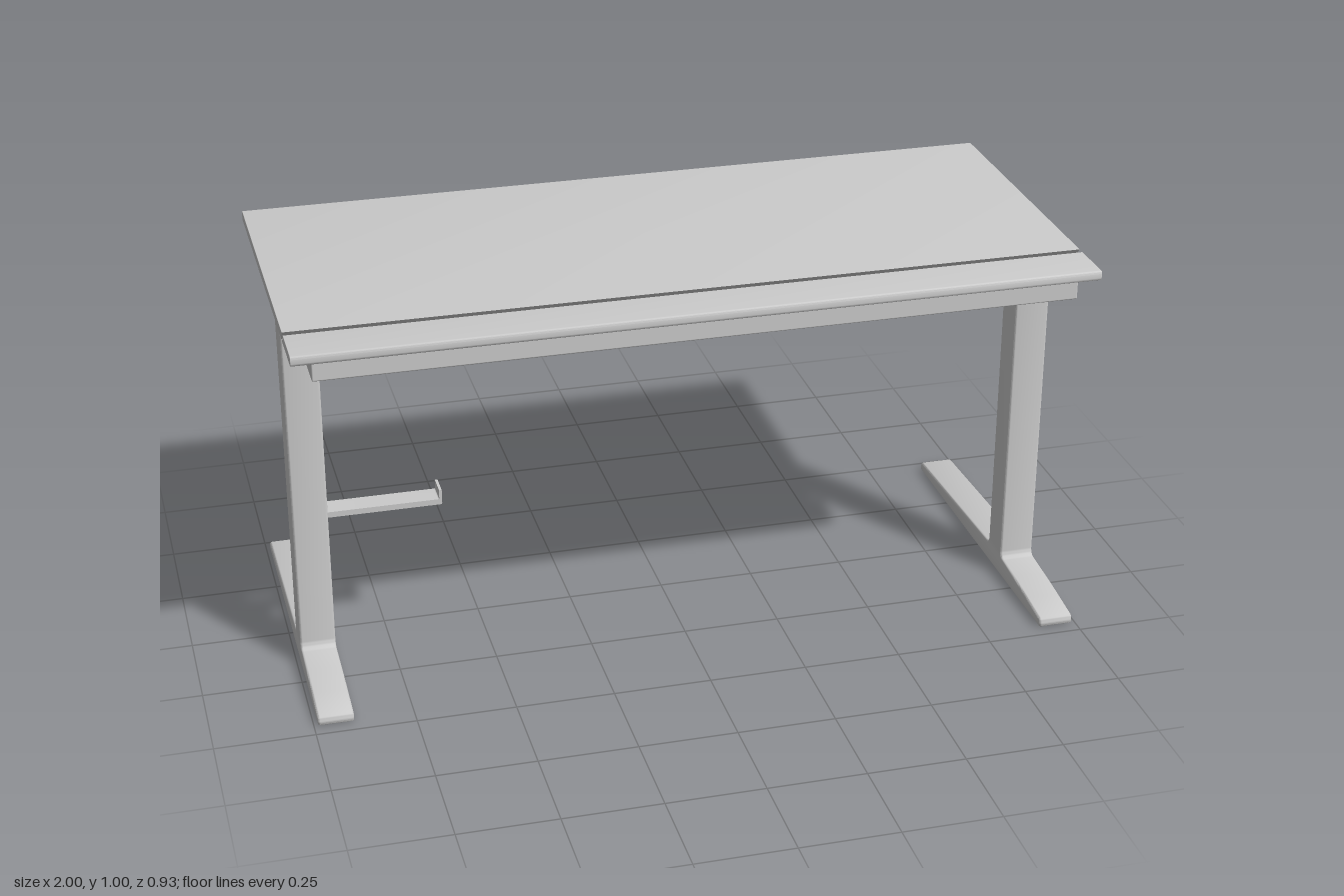
import * as THREE from 'three';
import { toCreasedNormals } from 'three/addons/utils/BufferGeometryUtils.js';
import { RoundedBoxGeometry } from 'three/addons/geometries/RoundedBoxGeometry.js';

const material = new THREE.MeshStandardMaterial({ color: 0xcccccc });

// Closed outline from [x, y, cornerRadius] points, listed counter-clockwise
function roundedOutline(points) {
  const shape = new THREE.Shape();
  const n = points.length;
  points.forEach(([x, y, r = 0], i) => {
    const corner = new THREE.Vector2(x, y);
    const toward = ([px, py]) =>
      new THREE.Vector2(px, py).sub(corner).setLength(r).add(corner);
    const a = toward(points[(i + n - 1) % n]);
    const b = toward(points[(i + 1) % n]);
    if (i === 0) shape.moveTo(a.x, a.y);
    else shape.lineTo(a.x, a.y);
    if (r > 0) shape.quadraticCurveTo(x, y, b.x, b.y);
  });
  shape.closePath();
  return shape;
}

// Extrusion centred on its depth, with the bevel kept inside the outline
function extrude(points, depth, bevel) {
  const geometry = new THREE.ExtrudeGeometry(roundedOutline(points), {
    depth: depth - 2 * bevel,
    curveSegments: 6,
    bevelEnabled: bevel > 0,
    bevelThickness: bevel,
    bevelSize: bevel,
    bevelOffset: -bevel,
    bevelSegments: 3,
  });
  geometry.translate(0, 0, -(depth - 2 * bevel) / 2);
  return toCreasedNormals(geometry, 0.6);
}

// Outline given as [z, y], extruded along x
const extrudeAlongX = (points, width, bevel) =>
  extrude(points, width, bevel).rotateY(-Math.PI / 2);

export function createModel() {
  const desk = new THREE.Group();
  desk.name = 'desk';

  const add = (name, geometry, x = 0, y = 0, z = 0) => {
    const mesh = new THREE.Mesh(geometry, material);
    mesh.name = name;
    mesh.position.set(x, y, z);
    desk.add(mesh);
    return mesh;
  };

  // Main top, its front edge cut on a slant
  add('tabletop', extrudeAlongX([
    [-0.465, 0.975, 0.004], [0.301, 0.975], [0.321, 1], [-0.465, 1, 0.004],
  ], 2, 0.001));

  // Narrow front strip with a matching slanted back edge
  add('frontStrip', extrudeAlongX([
    [0.319, 0.975], [0.465, 0.975, 0.007], [0.465, 1, 0.007], [0.339, 1],
  ], 2, 0.001));

  // Shallow tray under the front strip
  add('tray', new RoundedBoxGeometry(1.9, 0.055, 0.265, 3, 0.004), 0, 0.9475, 0.3075);

  // Legs: post and tapering foot in one profile with filleted joints
  const legGeometry = extrudeAlongX([
    [-0.465, 0, 0.008], [0.465, 0, 0.008], [0.465, 0.025, 0.012],
    [0.32, 0.042, 0.05], [0.173, 0.053, 0.018],
    [0.173, 0.975], [0.084, 0.975],
    [0.084, 0.053, 0.018], [-0.465, 0.025, 0.012],
  ], 0.09, 0.006);
  add('rightLeg', legGeometry, -0.945);
  add('leftLeg', legGeometry, 0.945);

  // Pair of holder arms on the right leg, lips turned outward from each other's plate
  const armGeometry = extrude([
    [-0.91, 0], [-0.61, 0, 0.003], [-0.61, 0.04], [-0.617, 0.04],
    [-0.617, 0.015, 0.003], [-0.91, 0.015],
  ], 0.06, 0);
  add('lowerArm', armGeometry, 0, 0.41, 0.129);
  const upper = add('upperArm', armGeometry, 0, 0.917, 0.129);
  // Half turn about x puts the upper lip on the underside
  upper.rotation.x = Math.PI;

  return desk;
}
